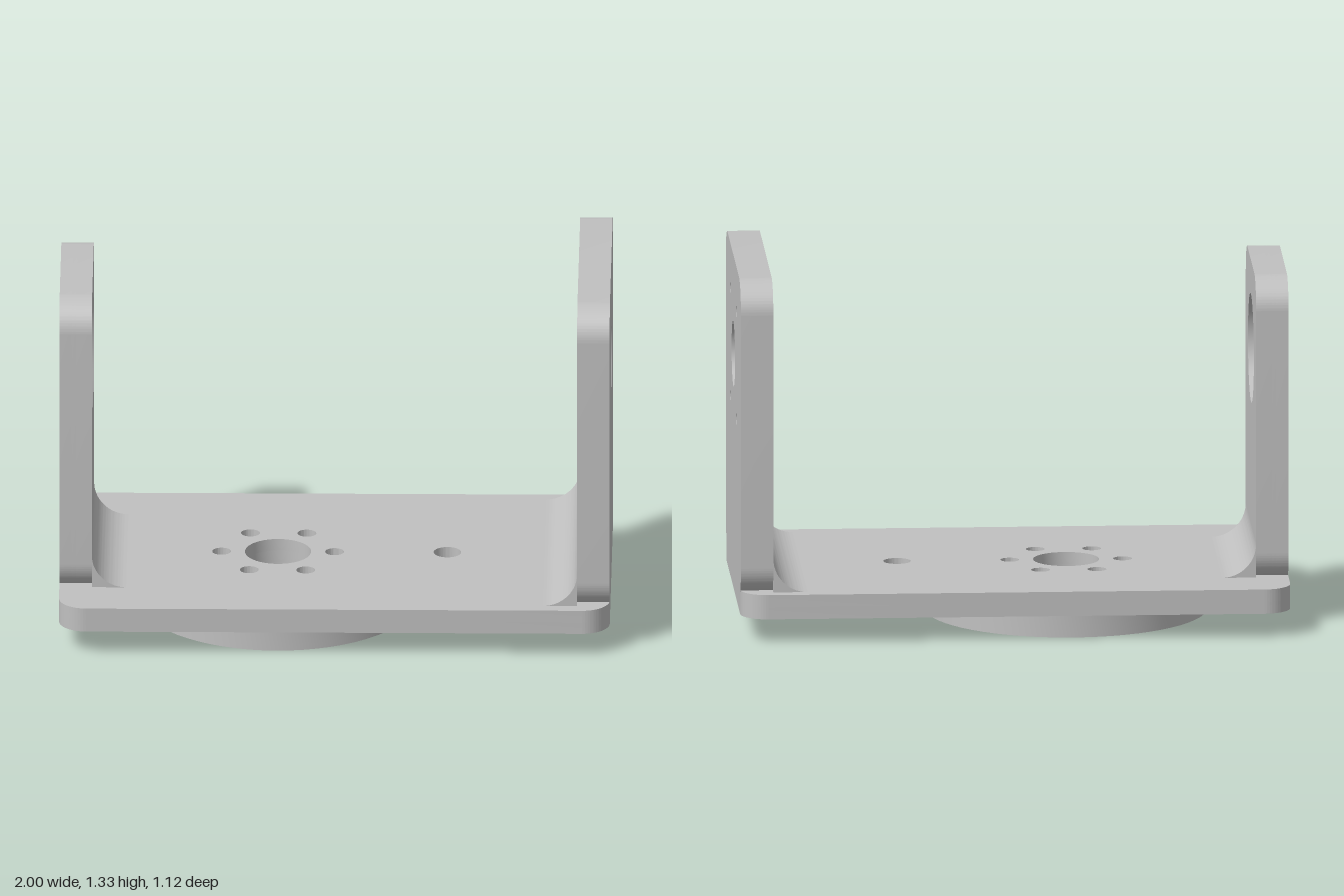
import * as THREE from 'three';
import { toCreasedNormals } from 'three/addons/utils/BufferGeometryUtils.js';

const metal = new THREE.MeshStandardMaterial({ color: 0xc0c0c0 });
metal.name = 'light grey metal';

// Rectangle with rounded corners
function roundedRect(x0, y0, x1, y1, r) {
  const s = new THREE.Shape();
  s.absarc(x1 - r, y0 + r, r, -Math.PI / 2, 0);
  s.absarc(x1 - r, y1 - r, r, 0, Math.PI / 2);
  s.absarc(x0 + r, y1 - r, r, Math.PI / 2, Math.PI);
  s.absarc(x0 + r, y0 + r, r, Math.PI, Math.PI * 1.5);
  s.closePath();
  return s;
}

function addHole(shape, x, y, r) {
  shape.holes.push(new THREE.Path().absarc(x, y, r, 0, Math.PI * 2, true));
}

function extrude(shape, depth) {
  return new THREE.ExtrudeGeometry(shape, { depth, bevelEnabled: false, curveSegments: 32 });
}

export function createModel() {
  const model = new THREE.Group();
  model.name = 'bracket';

  function add(name, geometry) {
    const mesh = new THREE.Mesh(toCreasedNormals(geometry, 0.5), metal);
    mesh.name = name;
    model.add(mesh);
  }
  // Horizontal slab between two heights
  const slab = (name, shape, y0, y1) =>
    add(name, extrude(shape, y1 - y0).rotateX(-Math.PI / 2).translate(0, y0, 0));
  // Upright slab between two x positions, drawn in z and y
  const upright = (name, shape, x0, x1) =>
    add(name, extrude(shape, x1 - x0).rotateY(Math.PI / 2).translate(x0, 0, 0));

  // Bolt circle and centre bore shared by the disc and the plate
  const hubX = -0.21;
  function addHubHoles(shape) {
    addHole(shape, hubX, 0, 0.12);
    for (let i = 0; i < 6; i++) {
      const a = (i * Math.PI) / 3;
      addHole(shape, hubX + 0.205 * Math.cos(a), 0.205 * Math.sin(a), 0.034);
    }
  }

  // Round mounting disc below the plate
  const disc = new THREE.Shape().absarc(hubX, 0, 0.514, 0, Math.PI * 2);
  addHubHoles(disc);
  slab('mountingDisc', disc, 0, 0.09);

  // Base plate in two layers, giving the single screw hole its counterbore
  for (const [name, r, y0, y1] of [
    ['basePlateLower', 0.033, 0.09, 0.135],
    ['basePlateUpper', 0.05, 0.135, 0.18],
  ]) {
    const plate = roundedRect(-1, -0.56, 1, 0.56, 0.1);
    addHubHoles(plate);
    addHole(plate, 0.405, 0, r);
    slab(name, plate, y0, y1);
  }

  // Tall wall with a shaft opening and four screw holes
  const tall = roundedRect(-0.514, 0.15, 0.514, 1.325, 0.12);
  addHole(tall, 0, 0.957, 0.12);
  for (const z of [-0.2, 0.2]) {
    for (const y of [0.757, 1.157]) addHole(tall, z, y, 0.021);
  }
  upright('tallWall', tall, 0.882, 1);

  // Short wall with a stepped bearing pocket on its inner side
  for (const [name, r, x0, x1] of [
    ['shortWallBack', 0, -1, -0.955],
    ['shortWallStep', 0.17, -0.955, -0.94],
    ['shortWallPocket', 0.2, -0.94, -0.882],
  ]) {
    const wall = roundedRect(-0.353, 0.15, 0.353, 1.283, 0.12);
    if (r) addHole(wall, 0, 0.957, r);
    upright(name, wall, x0, x1);
  }

  // Concave fillets where the walls meet the plate
  for (const [name, side, half] of [
    ['tallWallFillet', 1, 0.514],
    ['shortWallFillet', -1, 0.353],
  ]) {
    const x = side * 0.882;
    const r = 0.125;
    const s = new THREE.Shape();
    s.moveTo(x, 0.18);
    s.lineTo(x, 0.18 + r);
    s.absarc(x - side * r, 0.18 + r, r, side > 0 ? 0 : Math.PI, -Math.PI / 2 + (side > 0 ? 0 : Math.PI * 2), side > 0);
    s.closePath();
    add(name, extrude(s, half * 2).translate(0, 0, -half));
  }

  return model;
}
